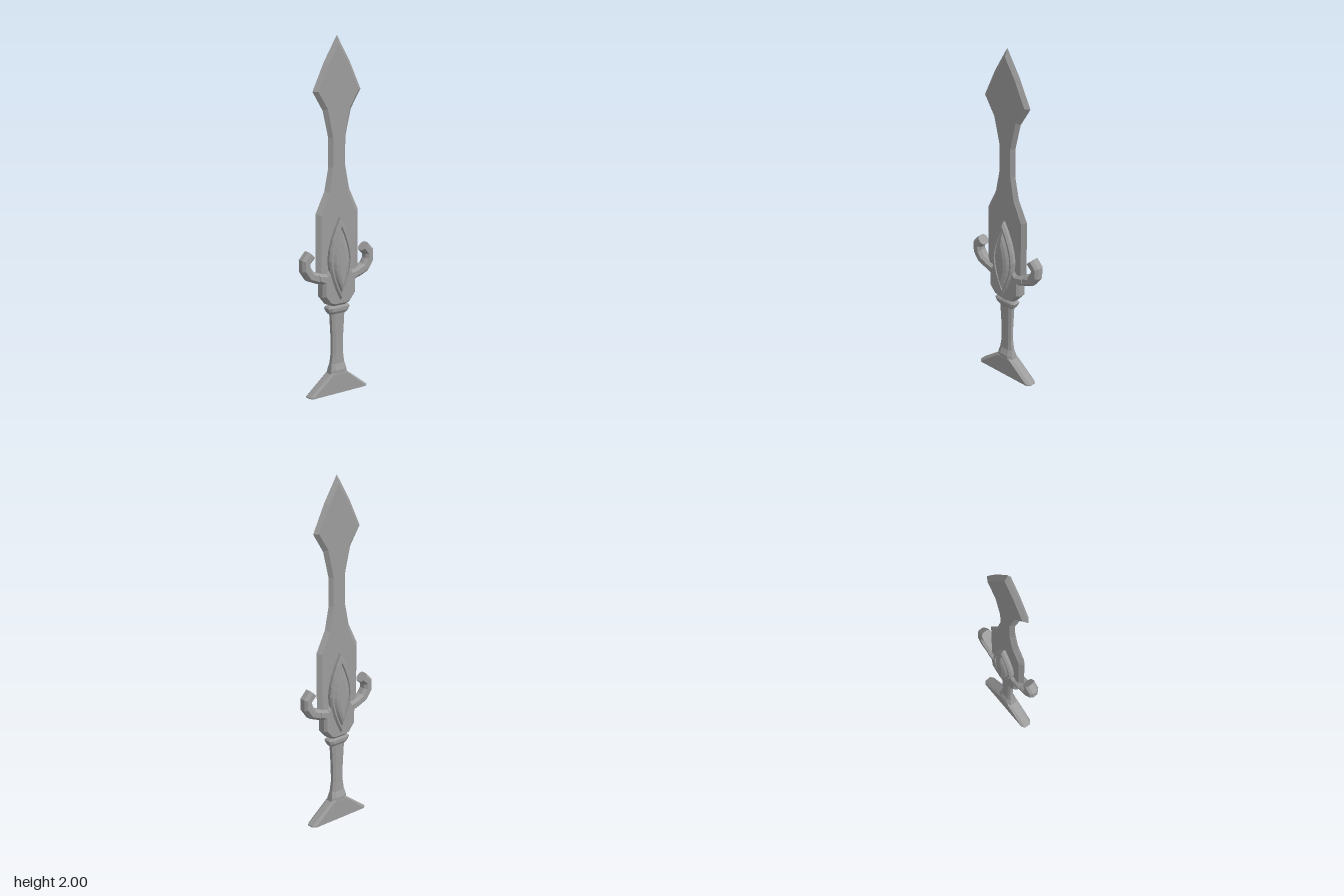
import * as THREE from 'three';

const material = new THREE.MeshStandardMaterial({ color: 0x9c9c9c, flatShading: true });

function addMesh(group, name, geometry) {
  const mesh = new THREE.Mesh(geometry, material);
  mesh.name = name;
  group.add(mesh);
  return mesh;
}

// Skins a row of equal-sized rings (counter-clockwise about the row's direction) and caps both ends.
function loft(rings) {
  const pos = [];
  const n = rings[0].length;
  const tri = (a, b, c) => pos.push(...a, ...b, ...c);
  const centre = (ring) => [0, 1, 2].map((k) => ring.reduce((s, p) => s + p[k], 0) / n);
  const last = rings[rings.length - 1];
  const c0 = centre(rings[0]), c1 = centre(last);
  for (let j = 0; j < n; j++) {
    const k = (j + 1) % n;
    for (let i = 0; i < rings.length - 1; i++) {
      const a = rings[i], b = rings[i + 1];
      tri(a[j], a[k], b[k]);
      tri(a[j], b[k], b[j]);
    }
    tri(c0, rings[0][k], rings[0][j]);
    tri(c1, last[j], last[k]);
  }
  const geometry = new THREE.BufferGeometry();
  geometry.setAttribute('position', new THREE.Float32BufferAttribute(pos, 3));
  geometry.computeVertexNormals();
  return geometry;
}

// Horizontal chamfered rectangle: half-width hx, half-depth hz, corners cut by the given fractions.
function octagon(y, hx, hz, cutX = 0.45, cutZ = cutX) {
  const x = hx * (1 - cutX), z = hz * (1 - cutZ);
  return [[hx, y, z], [hx, y, -z], [x, y, -hz], [-x, y, -hz],
    [-hx, y, -z], [-hx, y, z], [-x, y, hz], [x, y, hz]];
}

// Pointed oval ring facing z.
function pointedOval(width, top, bottom, z) {
  const steps = 8, mid = (top + bottom) / 2, half = (top - bottom) / 2;
  const ring = [];
  for (const side of [1, -1]) {
    for (let i = 0; i < steps; i++) {
      const t = side * (-1 + (2 * i) / steps);
      ring.push([side * width * (1 - Math.pow(Math.abs(t), 1.7)), mid + half * t, z]);
    }
  }
  return ring;
}

// Solid from pointed ovals [width, top, bottom, z], repeated on the back.
function ovalSolid(front) {
  const back = front.map(([w, t, b, z]) => [w, t, b, -z]).reverse();
  return loft([...back, ...front].map((r) => pointedOval(...r)));
}

export function createModel() {
  const group = new THREE.Group();

  // Blade: sharp outer edge and flat faces; [edge y, edge x, face y, face x]
  const bladeRows = [
    [0.64, 0.10, 0.64, 0.08], [0.68, 0.145, 0.68, 0.118], [1.04, 0.145, 1.03, 0.118],
    [1.16, 0.085, 1.15, 0.063], [1.29, 0.058, 1.29, 0.038], [1.45, 0.058, 1.45, 0.038],
    [1.60, 0.095, 1.61, 0.075], [1.705, 0.162, 1.705, 0.137], [1.86, 0.086, 1.85, 0.066],
    [2.0, 0, 1.955, 0],
  ];
  const bz = 0.019;
  addMesh(group, 'blade', loft(bladeRows.map(([y, o, fy, f]) => [
    [o, y, 0], [f, fy, -bz], [-f, fy, -bz], [-o, y, 0], [-f, fy, bz], [f, fy, bz],
  ])));

  // Guard body: bevelled plate
  const half = [[0.04, 0.51], [0.07, 0.52], [0.113, 0.57], [0.113, 0.645], [0.15, 0.66],
    [0.15, 0.712], [0.09, 0.70], [0.055, 0.74]];
  const outline = [...half, ...half.map(([x, y]) => [-x, y]).reverse()];
  const plate = new THREE.ExtrudeGeometry(
    new THREE.Shape(outline.map(([x, y]) => new THREE.Vector2(x, y))),
    { depth: 0.042, bevelEnabled: true, bevelThickness: 0.015, bevelSize: 0.014, bevelOffset: -0.014, bevelSegments: 1 },
  );
  plate.translate(0, 0, -0.021);
  addMesh(group, 'guardBody', plate);

  // Curled guard hooks: octagonal section swept along a short path
  const path = [[0.09, 0.673], [0.14, 0.682], [0.188, 0.70], [0.218, 0.742], [0.219, 0.785], [0.184, 0.82]]
    .map(([x, y]) => new THREE.Vector2(x, y));
  const hookGeometry = loft(path.map((p, i) => {
    const a = path[Math.max(i - 1, 0)], b = path[Math.min(i + 1, path.length - 1)];
    const t = b.clone().sub(a).normalize();
    return octagon(0, 0.03, 0.032, 0.5).map(([u, , v]) => [p.x - t.y * u, p.y + t.x * u, -v]);
  }));
  addMesh(group, 'leftHook', hookGeometry);
  addMesh(group, 'rightHook', hookGeometry).rotation.y = Math.PI;

  // Raised pointed frame with a shallow recess
  addMesh(group, 'ovalFrame', ovalSolid([
    [0.08, 1.01, 0.54, 0.036], [0.07, 0.985, 0.56, 0.048], [0.06, 0.962, 0.575, 0.048], [0.057, 0.952, 0.582, 0.041],
  ]));

  // Faceted gem, standing out of both faces
  addMesh(group, 'gem', ovalSolid([
    [0.055, 0.945, 0.587, 0.041], [0.041, 0.915, 0.60, 0.053], [0.021, 0.87, 0.63, 0.06],
  ]));

  // Grip, flared at both ends; [y, half-width, half-depth]
  const gripRows = [[0.11, 0.058, 0.034], [0.135, 0.053, 0.034], [0.17, 0.045, 0.02], [0.23, 0.036, 0.018],
    [0.32, 0.037, 0.018], [0.46, 0.045, 0.02], [0.53, 0.035, 0.024]];
  addMesh(group, 'grip', loft(gripRows.map((r) => octagon(...r))));

  // Collar under the guard
  const collarRows = [[0.462, 0.055, 0.02], [0.478, 0.064, 0.03], [0.498, 0.074, 0.031], [0.508, 0.066, 0.025]];
  addMesh(group, 'collar', loft(collarRows.map((r) => octagon(...r, 0.3))));

  // Flared pommel with clipped corners
  const pommelRows = [[0, 0.2, 0.035, 0.1], [0.006, 0.2, 0.035, 0.1], [0.112, 0.06, 0.035, 0.2], [0.125, 0.045, 0.03, 0.2]];
  addMesh(group, 'pommel', loft(pommelRows.map((r) => octagon(...r, 0.45))));

  return group;
}
